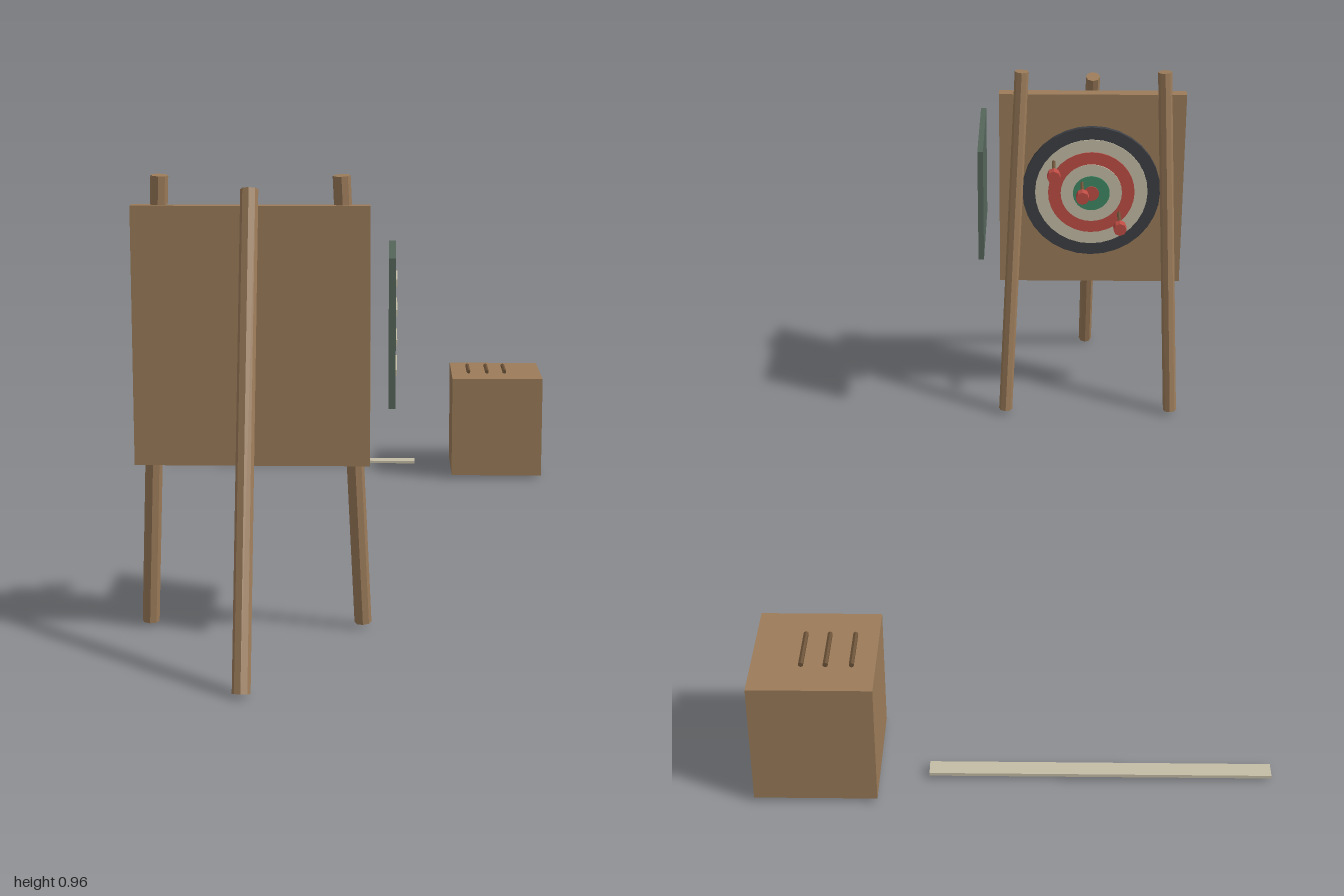
import * as THREE from 'three';

const mat = (name, color) => {
  const m = new THREE.MeshStandardMaterial({ color, flatShading: true });
  m.name = name;
  return m;
};

export function createModel() {
  const wood = mat('wood', 0x9c7c5a);
  const darkWood = mat('dark wood', 0x6b5238);
  const slate = mat('slate green', 0x54655a);
  const cream = mat('cream', 0xc4bda6);
  const charcoal = mat('charcoal', 0x3c3f44);
  const red = mat('red', 0xbf4d45);
  const green = mat('green', 0x3f8a66);

  const model = new THREE.Group();
  const CX = -0.177; // middle of the target stand
  const CY = 0.637;

  const add = (name, geo, material, x = 0, y = 0, z = 0) => {
    const mesh = new THREE.Mesh(geo, material);
    mesh.name = name;
    mesh.position.set(x, y, z);
    model.add(mesh);
    return mesh;
  };
  const box = (name, material, w, h, d, x, y, z) =>
    add(name, new THREE.BoxGeometry(w, h, d), material, x, y, z);
  // Round pole between two points
  const pole = (name, material, a, b, r, sides = 8) => {
    const p = new THREE.Vector3(...a), q = new THREE.Vector3(...b);
    const dir = q.clone().sub(p);
    const mesh = add(name, new THREE.CylinderGeometry(r, r, dir.length(), sides), material);
    mesh.position.copy(p).add(q).multiplyScalar(0.5);
    mesh.quaternion.setFromUnitVectors(new THREE.Vector3(0, 1, 0), dir.normalize());
    return mesh;
  };

  // Easel: back board, two splayed legs and one prop leg
  box('targetBoard', wood, 0.48, 0.53, 0.03, CX, CY, 0.639);
  for (const s of [-1, 1]) {
    pole('sideLeg', wood, [CX + s * 0.225, 0.011, 0.558], [CX + s * 0.182, 0.961, 0.631], 0.018);
  }
  pole('propLeg', wood, [CX, 0.006, 0.983], [CX, 0.936, 0.663], 0.018);

  // Target: stacked discs, each a little prouder than the last
  const rings = [
    [0.18, charcoal], [0.147, cream], [0.113, red],
    [0.08, cream], [0.048, green], [0.02, red],
  ];
  rings.forEach(([r, material], i) => {
    const depth = 0.013 + i * 0.0025;
    const geo = new THREE.CylinderGeometry(r, r, depth, 32).rotateX(Math.PI / 2);
    add('targetRing', geo, material, CX, CY, 0.625 - depth / 2);
  });

  // Darts stuck in the target
  for (const [x, y, z] of [[-0.078, 0.722, 0.506], [-0.152, 0.666, 0.502], [-0.25, 0.579, 0.502]]) {
    pole('dartShaft', darkWood, [x, y, 0.615], [x, y, z + 0.012], 0.005, 6);
    pole('dartTail', red, [x, y, z + 0.024], [x, y, z], 0.017);
  }

  // Score board with chalk lines on its outer face
  box('scoreBoard', slate, 0.014, 0.298, 0.3, 0.107, 0.6625, 0.61);
  [0.758, 0.698, 0.638, 0.578].forEach((y, i) => {
    const len = i % 2 ? 0.166 : 0.139;
    box('scoreLine', cream, 0.004, 0.013, len, 0.115, y, 0.722 - len / 2);
  });

  // Throwing line on the ground
  box('throwLine', cream, 0.702, 0.007, 0.036, -0.176, 0.0125, -0.911);

  // Crate with spare shafts on top
  box('crate', wood, 0.25, 0.275, 0.25, 0.4015, 0.1475, -0.875);
  for (const x of [0.324, 0.376, 0.425]) {
    pole('spareShaft', darkWood, [x, 0.291, -0.927], [x, 0.291, -0.825], 0.0055, 6);
  }

  return model;
}
